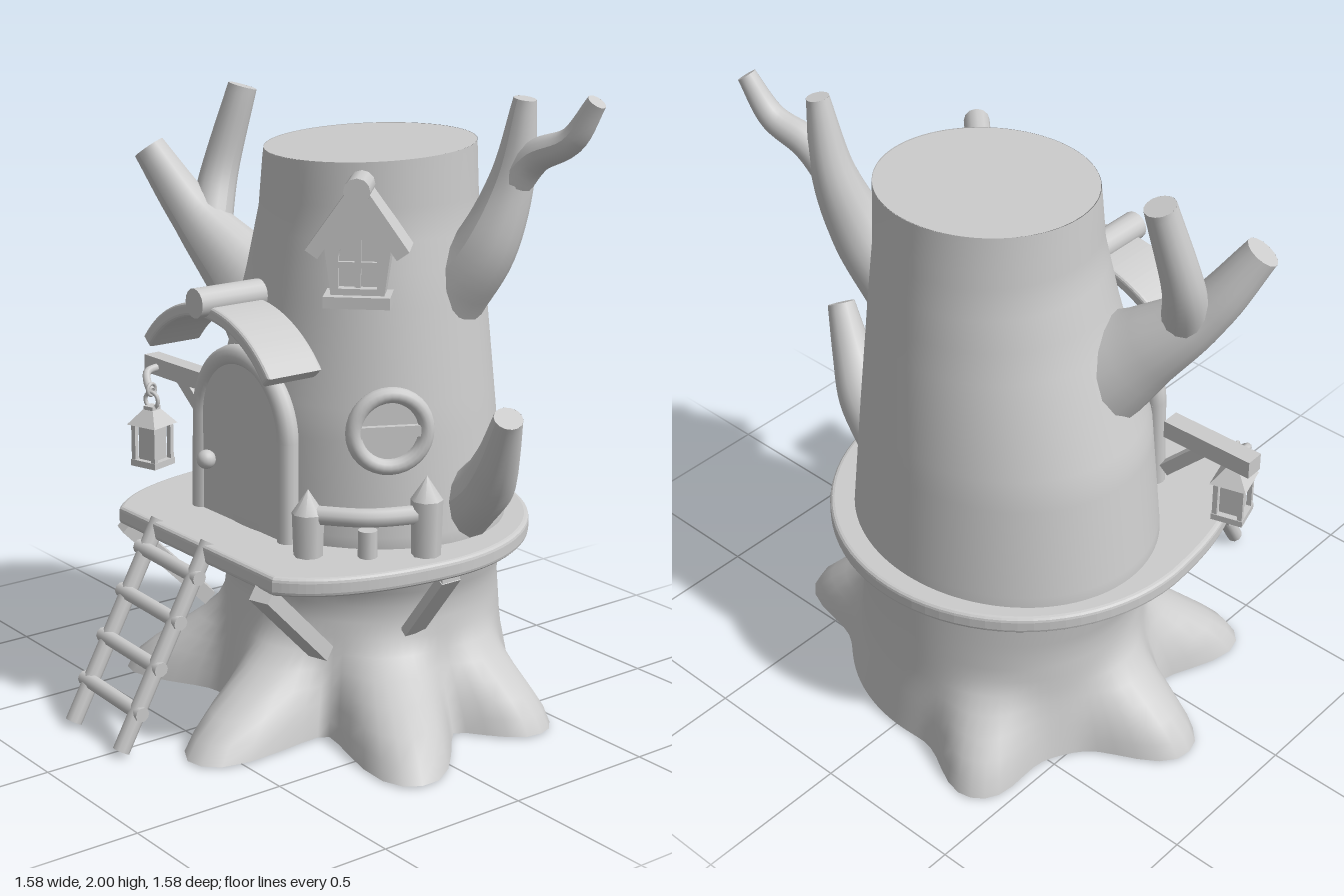
import * as THREE from 'three';

const wood = new THREE.MeshStandardMaterial({ color: 0xcccccc, side: THREE.DoubleSide });
wood.name = 'plain grey';
const V = (x, y, z) => new THREE.Vector3(x, y, z);
const UP = V(0, 1, 0);

function add(parent, name, geo, x = 0, y = 0, z = 0) {
  const m = new THREE.Mesh(geo, wood);
  m.name = name;
  m.position.set(x, y, z);
  parent.add(m);
  return m;
}
function group(parent, name, x = 0, y = 0, z = 0, turn = 0) {
  const g = new THREE.Group();
  g.name = name;
  g.position.set(x, y, z);
  g.rotation.y = turn;
  parent.add(g);
  return g;
}
// round rod between two points
function rod(parent, name, a, b, r, sides = 12) {
  const m = add(parent, name, new THREE.CylinderGeometry(r, r, a.distanceTo(b), sides));
  m.position.copy(a).add(b).multiplyScalar(0.5);
  m.quaternion.setFromUnitVectors(UP, b.clone().sub(a).normalize());
}
// square beam between two points
function beam(parent, name, a, b, w, d = w) {
  const m = add(parent, name, new THREE.BoxGeometry(w, d, a.distanceTo(b)));
  m.position.copy(a).add(b).multiplyScalar(0.5);
  m.lookAt(b);
}
// tapered branch along a smooth curve with a blunt end
function limb(parent, name, points, radii) {
  const curve = new THREE.CatmullRomCurve3(points.map(p => V(...p)));
  const n = 20, sides = 14, geo = new THREE.TubeGeometry(curve, n, 1, sides);
  const pos = geo.attributes.position, v = V(0, 0, 0);
  for (let i = 0; i <= n; i++) {
    const c = curve.getPointAt(i / n), t = (i / n) * (radii.length - 1);
    const k = Math.min(Math.floor(t), radii.length - 2);
    const r = THREE.MathUtils.lerp(radii[k], radii[k + 1], t - k);
    for (let j = 0; j <= sides; j++) {
      const q = i * (sides + 1) + j;
      v.fromBufferAttribute(pos, q).sub(c).multiplyScalar(r).add(c);
      pos.setXYZ(q, v.x, v.y, v.z);
    }
  }
  geo.computeVertexNormals();
  add(parent, name, geo);
  const cap = add(parent, name + 'End', new THREE.CircleGeometry(radii.at(-1), sides));
  cap.position.copy(curve.getPointAt(1));
  cap.quaternion.setFromUnitVectors(V(0, 0, 1), curve.getTangentAt(1));
}

// trunk sections: y, centre x, centre z, radius x, radius z
const SECTIONS = [
  [0, -0.03, -0.225, 0.53, 0.485], [0.22, -0.035, -0.225, 0.48, 0.45], [0.4, -0.04, -0.235, 0.465, 0.43],
  [0.6, -0.03, -0.205, 0.52, 0.45], [1.0, -0.02, -0.19, 0.475, 0.425], [1.4, 0.02, -0.195, 0.385, 0.37],
  [1.6, 0.03, -0.2, 0.345, 0.345], [1.8, 0.035, -0.2, 0.335, 0.33]];
// root tips on the ground: x, z
const ROOTS = [[-0.42, -0.77], [-0.79, -0.17], [-0.57, 0.36], [0.24, 0.63], [0.76, 0.19], [0.7, -0.38]];

function trunkGeometry() {
  const rows = 36, seg = 96, pos = [], idx = [];
  for (let i = 0; i <= rows; i++) {
    const y = 1.8 * i / rows;
    let k = 0;
    while (k < SECTIONS.length - 2 && y > SECTIONS[k + 1][0]) k++;
    const a = SECTIONS[k], b = SECTIONS[k + 1], t = (y - a[0]) / (b[0] - a[0]);
    const [, cx, cz, rx, rz] = a.map((p, q) => THREE.MathUtils.lerp(p, b[q], t));
    const flare = 1 - THREE.MathUtils.smoothstep(y, -0.02, 0.3);
    for (let j = 0; j < seg; j++) {
      const th = j / seg * Math.PI * 2;
      let r = 1 / Math.hypot(Math.cos(th) / rx, Math.sin(th) / rz), bump = 0;
      for (const [x, z] of ROOTS) {
        const dx = x + 0.03, dz = z + 0.22, d = th - Math.atan2(dz, dx);
        const off = Math.abs(Math.atan2(Math.sin(d), Math.cos(d)));
        bump = Math.max(bump, (Math.hypot(dx, dz) - r) * Math.exp(-Math.pow(off / 0.25, 2.4)));
      }
      r += bump * flare;
      const z = cz + r * Math.sin(th);
      pos.push(cx + r * Math.cos(th), y - (i === rows ? (z + 0.2) * 0.055 : 0), z);
      if (i < rows) {
        const p = i * seg + j, q = i * seg + (j + 1) % seg;
        idx.push(p, p + seg, q, q, p + seg, q + seg);
      }
    }
  }
  const g = new THREE.BufferGeometry();
  g.setAttribute('position', new THREE.Float32BufferAttribute(pos, 3));
  g.setIndex(idx);
  g.computeVertexNormals();
  return g;
}
function archShape(halfW, bottom, spring) {
  const s = new THREE.Shape();
  s.moveTo(-halfW, bottom);
  s.lineTo(halfW, bottom);
  s.lineTo(halfW, spring);
  s.absarc(0, spring, halfW, 0, Math.PI);
  s.closePath();
  return s;
}
const extrude = (shape, depth, bevel = 0) => new THREE.ExtrudeGeometry(shape, {
  depth, curveSegments: 20, bevelEnabled: bevel > 0, bevelSize: bevel, bevelThickness: bevel, bevelSegments: 3 });

export function createModel() {
  const model = new THREE.Group();
  model.name = 'treeHouse';

  // trunk with roots and sawn top
  add(model, 'trunk', trunkGeometry());
  add(model, 'trunkTop', new THREE.CircleGeometry(0.332, 40), 0.035, 1.799, -0.2).rotation.x = -Math.PI / 2 + 0.055;

  // branches
  const branches = group(model, 'branches');
  limb(branches, 'leftBranch', [[-0.24, 1.17, -0.09], [-0.44, 1.345, -0.03], [-0.6, 1.51, 0.04], [-0.72, 1.72, 0.13]], [0.21, 0.13, 0.08, 0.055]);
  limb(branches, 'leftFork', [[-0.55, 1.45, 0.01], [-0.59, 1.63, -0.06], [-0.55, 1.92, -0.13]], [0.075, 0.06, 0.048]);
  limb(branches, 'rightBranch', [[0.32, 1.36, -0.29], [0.43, 1.51, -0.33], [0.49, 1.72, -0.38], [0.53, 1.97, -0.39]], [0.12, 0.095, 0.065, 0.035]);
  limb(branches, 'rightFork', [[0.48, 1.69, -0.37], [0.57, 1.8, -0.4], [0.69, 1.86, -0.43], [0.77, 1.98, -0.45]], [0.06, 0.052, 0.042, 0.03]);
  limb(branches, 'lowBranch', [[0.42, 0.7, -0.27], [0.54, 0.8, -0.26], [0.62, 0.9, -0.23], [0.71, 1.06, -0.19]], [0.11, 0.09, 0.065, 0.045]);

  // platform: round at the back, straight at the front
  const deck = new THREE.Shape();
  deck.moveTo(0.6, 0.09);
  deck.quadraticCurveTo(0.58, -0.3, 0.4, -0.44);
  deck.lineTo(-0.43, -0.44);
  deck.quadraticCurveTo(-0.6, -0.3, -0.62, 0.09);
  deck.absarc(-0.01, 0.1, 0.61, Math.PI, 0, true);
  add(model, 'platform', extrude(deck, 0.03, 0.015), 0, 0.57, 0).rotation.x = -Math.PI / 2;

  // struts under the platform
  const struts = group(model, 'struts');
  beam(struts, 'strut', V(-0.44, 0.55, 0.43), V(-0.355, 0.27, 0.17), 0.075, 0.05);
  beam(struts, 'strut', V(0.36, 0.55, 0.46), V(0.27, 0.27, 0.17), 0.07, 0.05);
  beam(struts, 'strut', V(0.57, 0.54, -0.09), V(0.4, 0.32, -0.09), 0.075, 0.03);
  beam(struts, 'strutTop', V(0.58, 0.545, -0.09), V(0.4, 0.545, -0.09), 0.07, 0.03);

  // arched door with round frame
  const door = group(model, 'door', -0.06);
  add(door, 'doorPanel', extrude(archShape(0.23, 0.6, 0.93), 0.1), 0, 0, 0.14);
  add(door, 'frameArch', new THREE.TorusGeometry(0.228, 0.034, 12, 32, Math.PI), 0, 0.93, 0.22);
  for (const s of [-1, 1]) rod(door, 'framePost', V(s * 0.233, 0.6, 0.225), V(s * 0.228, 0.93, 0.22), 0.034);
  add(door, 'doorKnob', new THREE.SphereGeometry(0.031, 16, 12), -0.135, 0.8, 0.275);

  // curved canopy with ridge log
  const arc = new THREE.Shape();
  arc.absarc(0, 0, 0.42, Math.PI / 2 - 0.87, Math.PI / 2 + 0.87);
  arc.absarc(0, 0, 0.4, Math.PI / 2 + 0.87, Math.PI / 2 - 0.87, true);
  add(model, 'canopy', extrude(arc, 0.176, 0.012), -0.005, 0.925, 0.222);
  rod(model, 'canopyRidge', V(-0.005, 1.365, 0.2), V(-0.005, 1.365, 0.44), 0.046, 16);

  // small dormer house
  const dormer = group(model, 'dormer', 0.325, 0, 0.07, 0.8);
  add(dormer, 'sill', new THREE.BoxGeometry(0.2, 0.035, 0.14), 0, 1.393, 0.015);
  const wall = new THREE.Shape([[-0.08, 1.41], [0.08, 1.41], [0.1, 1.56], [0, 1.69], [-0.1, 1.56]].map(p => new THREE.Vector2(...p)));
  add(dormer, 'dormerBack', extrude(wall.clone(), 0.12), 0, 0, -0.1);
  wall.holes.push(archShape(0.058, 1.43, 1.52));
  add(dormer, 'dormerFront', extrude(wall, 0.035), 0, 0, 0.02);
  add(dormer, 'windowBar', new THREE.BoxGeometry(0.018, 0.145, 0.015), 0, 1.505, 0.04);
  add(dormer, 'windowBar', new THREE.BoxGeometry(0.116, 0.018, 0.015), 0, 1.5, 0.04);
  for (const s of [-1, 1])
    add(dormer, 'roofSlab', new THREE.BoxGeometry(0.205, 0.045, 0.15), s * 0.077, 1.618, 0).rotation.z = -s * 0.96;
  rod(dormer, 'roofRidge', V(0, 1.725, -0.085), V(0, 1.725, 0.09), 0.04);

  // round window
  const porthole = group(model, 'roundWindow', 0.415, 0.99, 0.02, 1.1);
  add(porthole, 'windowRing', new THREE.TorusGeometry(0.113, 0.025, 12, 32));
  add(porthole, 'windowPane', new THREE.CylinderGeometry(0.11, 0.11, 0.04, 32), 0, 0, -0.025).rotation.x = Math.PI / 2;
  add(porthole, 'windowBar', new THREE.BoxGeometry(0.21, 0.035, 0.02), 0, 0, 0.005);

  // railing with pointed posts
  const rail = group(model, 'railing');
  for (const [x, z, h] of [[0.31, 0.25, 0.14], [0.52, -0.04, 0.18]]) {
    add(rail, 'post', new THREE.CylinderGeometry(0.05, 0.045, h, 8), x, 0.61 + h / 2, z);
    add(rail, 'postPoint', new THREE.ConeGeometry(0.05, 0.075, 8), x, 0.6475 + h, z);
  }
  const bend = new THREE.CatmullRomCurve3([V(0.31, 0.745, 0.25), V(0.445, 0.745, 0.13), V(0.52, 0.745, -0.04)]);
  add(rail, 'handrail', new THREE.TubeGeometry(bend, 14, 0.03, 10));
  add(rail, 'shortPost', new THREE.CylinderGeometry(0.03, 0.03, 0.1, 10), 0.43, 0.65, 0.115);

  // ladder
  const ladder = group(model, 'ladder');
  for (const x of [-0.25, 0.03]) rod(ladder, 'ladderRail', V(x, 0.008, 0.758), V(x, 0.615, 0.422), 0.027, 10);
  for (const y of [0.125, 0.255, 0.39, 0.52]) {
    const z = 0.765 - y * 0.55;
    rod(ladder, 'rung', V(-0.28, y + 0.008, z), V(0.06, y - 0.004, z), 0.024, 10);
  }

  // lantern on a bracket beam
  beam(model, 'lanternBeam', V(-0.76, 0.98, 0.11), V(-0.44, 0.98, 0.1), 0.06, 0.06);
  beam(model, 'beamBrace', V(-0.58, 0.96, 0.1), V(-0.45, 0.83, 0.08), 0.04, 0.04);
  add(model, 'hook', new THREE.TubeGeometry(new THREE.CatmullRomCurve3(
    [V(-0.69, 0.98, 0.11), V(-0.68, 0.97, 0.18), V(-0.64, 0.93, 0.2), V(-0.625, 0.92, 0.2)]), 12, 0.014, 8));
  const lantern = group(model, 'lantern', -0.625, 0, 0.2, 0.3);
  add(lantern, 'chainRing', new THREE.TorusGeometry(0.027, 0.007, 8, 20), 0, 0.888, 0);
  add(lantern, 'chainRing', new THREE.TorusGeometry(0.02, 0.006, 8, 16), 0, 0.925, 0).rotation.y = Math.PI / 2;
  const roof = add(lantern, 'lanternRoof', new THREE.CylinderGeometry(0.03, 0.085, 0.05, 4).toNonIndexed(), 0, 0.832, 0);
  roof.geometry.computeVertexNormals();
  roof.rotation.y = Math.PI / 4;
  add(lantern, 'lanternCap', new THREE.BoxGeometry(0.04, 0.015, 0.04), 0, 0.862, 0);
  add(lantern, 'lanternBase', new THREE.BoxGeometry(0.105, 0.022, 0.105), 0, 0.675, 0);
  add(lantern, 'lanternGlass', new THREE.BoxGeometry(0.065, 0.13, 0.065), 0, 0.745, 0);
  for (const sx of [-1, 1]) for (const sz of [-1, 1])
    add(lantern, 'lanternPost', new THREE.BoxGeometry(0.016, 0.13, 0.016), sx * 0.042, 0.745, sz * 0.042);

  return model;
}
